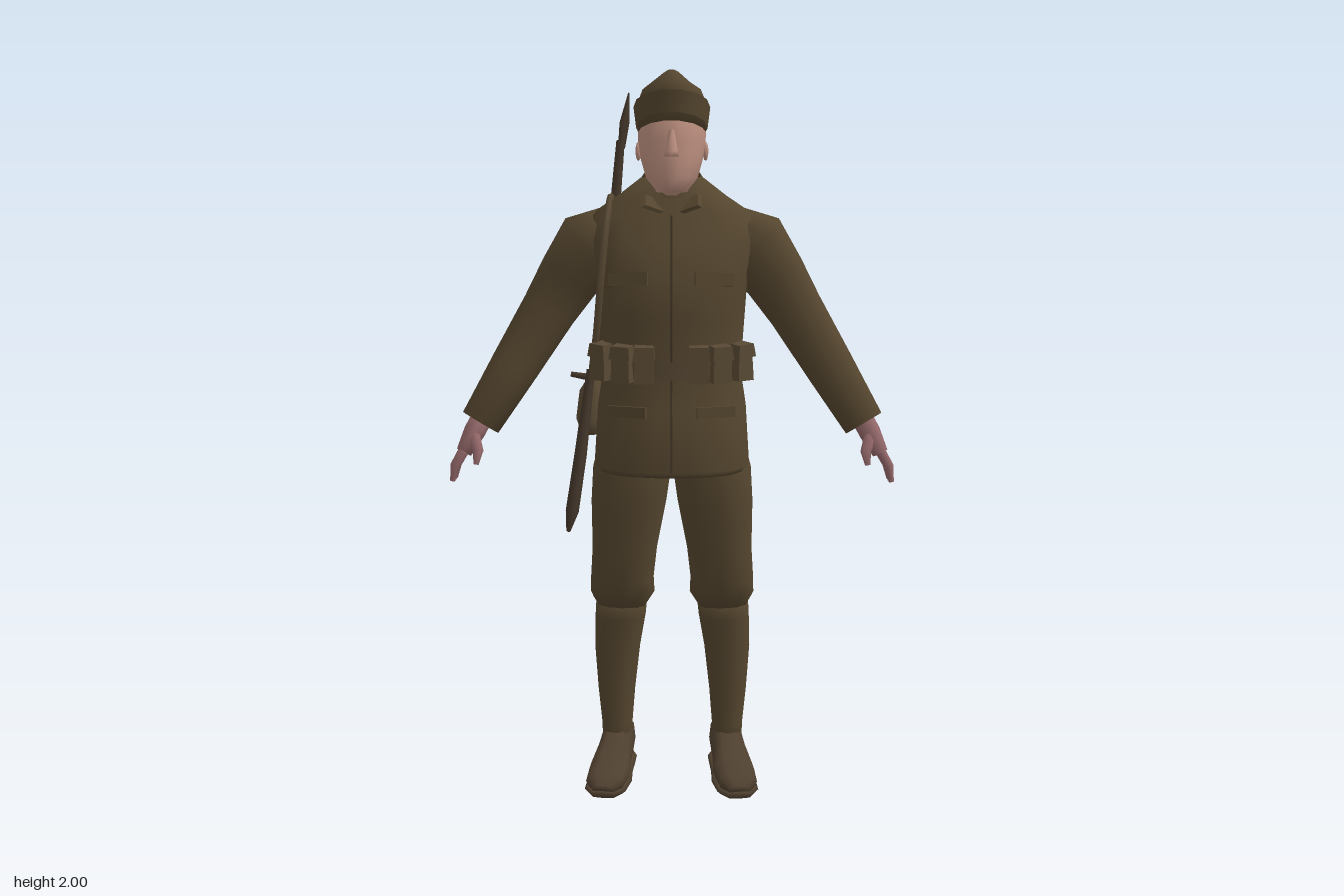
import * as THREE from 'three';
import { toCreasedNormals } from 'three/addons/utils/BufferGeometryUtils.js';

const V = (x, y, z) => new THREE.Vector3(x, y, z);
const mat = (name, color) => {
  const m = new THREE.MeshStandardMaterial({ color, side: THREE.DoubleSide });
  m.name = name;
  return m;
};

// Skin through elliptical rings [x, y, z, a, b]; ring plane follows the path, or stays level if flat.
function loft(rings, { n = 12, ref = V(0, 0, 1), flat = false, power = 0.85, caps = true } = {}) {
  const pos = [], idx = [];
  const pts = rings.map(r => V(r[0], r[1], r[2]));
  const bend = c => Math.sign(c) * Math.abs(c) ** power;
  rings.forEach((r, j) => {
    const t = flat ? V(0, 1, 0) : pts[Math.min(j + 1, pts.length - 1)].clone().sub(pts[Math.max(j - 1, 0)]).normalize();
    const u = t.clone().cross(ref).normalize();
    const v = u.clone().cross(t).normalize();
    for (let i = 0; i < n; i++) {
      const a = i / n * Math.PI * 2;
      const p = pts[j].clone().addScaledVector(u, r[3] * bend(Math.cos(a))).addScaledVector(v, r[4] * bend(Math.sin(a)));
      pos.push(p.x, p.y, p.z);
    }
  });
  for (let j = 0; j < rings.length - 1; j++) {
    for (let i = 0; i < n; i++) {
      const a = j * n + i, b = j * n + (i + 1) % n;
      idx.push(a, a + n, b, b, a + n, b + n);
    }
  }
  if (caps) {
    const s = pos.length / 3, last = (rings.length - 1) * n;
    pos.push(...pts[0].toArray(), ...pts[pts.length - 1].toArray());
    for (let i = 0; i < n; i++) {
      const k = (i + 1) % n;
      idx.push(s, i, k, s + 1, last + k, last + i);
    }
  }
  const g = new THREE.BufferGeometry();
  g.setAttribute('position', new THREE.Float32BufferAttribute(pos, 3));
  g.setIndex(idx);
  g.computeVertexNormals();
  return g;
}

// Moves each vertex upward in proportion to its z
function slope(g, k, z0) {
  const p = g.attributes.position;
  for (let i = 0; i < p.count; i++) p.setY(i, p.getY(i) + k * (p.getZ(i) - z0));
  g.computeVertexNormals();
  return g;
}

// Box narrowed at the top
function taperBox(w, h, d, k) {
  const g = new THREE.BoxGeometry(w, h, d), p = g.attributes.position;
  for (let i = 0; i < p.count; i++) if (p.getY(i) > 0) p.setXYZ(i, p.getX(i) * k, p.getY(i), p.getZ(i) * k);
  g.computeVertexNormals();
  return g;
}

export function createModel() {
  const root = new THREE.Group();
  root.name = 'soldier';
  const wool = mat('olive wool', 0x55462f), webbing = mat('webbing', 0x574833);
  const leather = mat('boot leather', 0x4f4030), wood = mat('rifle wood', 0x43362a);
  const skin = mat('skin', 0xbd9080), handSkin = mat('hand skin', 0x93686a), seamMat = mat('seam', 0x3b3022);
  const add = (name, geo, m, p = [0, 0, 0], r = [0, 0, 0], parent = root) => {
    const o = new THREE.Mesh(geo, m);
    o.name = name;
    o.position.set(...p);
    o.rotation.set(...r);
    parent.add(o);
    return o;
  };
  const tube = (pts, r) => new THREE.TubeGeometry(new THREE.CatmullRomCurve3(pts.map(p => V(...p))), 24, r, 5);

  // Tunic, given as height, half width, back z, front z
  const tunic = [
    [0.92, 0.2, -0.08, 0.2], [0.94, 0.215, -0.1, 0.232], [1.1, 0.205, -0.1, 0.21], [1.2, 0.19, -0.098, 0.185],
    [1.35, 0.2, -0.1, 0.198], [1.46, 0.208, -0.115, 0.19], [1.55, 0.23, -0.118, 0.152],
    [1.62, 0.225, -0.112, 0.115], [1.67, 0.15, -0.1, 0.095], [1.72, 0.085, -0.075, 0.07],
  ].map(([y, w, b, f]) => [0, y, (b + f) / 2, w, (f - b) / 2]);
  add('tunic', loft(tunic, { n: 18, flat: true }), wool);
  add('collar', slope(loft([[0, 1.665, 0.01, 0.118, 0.1], [0, 1.725, 0.01, 0.078, 0.078]],
    { n: 14, flat: true, caps: false }), -0.4, 0.01), wool);
  for (const s of [-1, 1]) {
    add('lapel', taperBox(0.075, 0.008, 0.05, 0.8), wool, [s * 0.045, 1.65, 0.1], [0.75, 0, s * 0.45]);
    add('chestPocketFlap', new THREE.BoxGeometry(0.11, 0.035, 0.008), wool, [s * 0.115, 1.455, 0.179], [-0.12, s * 0.3, 0]);
    add('skirtPocketFlap', new THREE.BoxGeometry(0.11, 0.03, 0.008), wool, [s * 0.12, 1.1, 0.191], [0, s * 0.35, 0]);
  }
  add('frontSeam', tube([[0, 1.62, 0.119], [0, 1.53, 0.167], [0, 1.4, 0.196], [0, 1.2, 0.187], [0, 1.05, 0.218], [0, 0.94, 0.232]], 0.003), seamMat);

  // Head, neck and nose
  const head = [
    [1.62, 0.055, -0.04, 0.06], [1.68, 0.055, -0.045, 0.1], [1.685, 0.045, -0.045, 0.155], [1.72, 0.07, -0.045, 0.168],
    [1.77, 0.084, -0.05, 0.168], [1.82, 0.091, -0.055, 0.163], [1.88, 0.092, -0.055, 0.16], [1.93, 0.07, -0.04, 0.12],
  ].map(([y, w, b, f]) => [0, y, (b + f) / 2, w, (f - b) / 2]);
  add('head', loft(head, { n: 14, flat: true, power: 1 }), skin);
  add('nose', loft([[0, 1.775, 0.165, 0.02, 0.022], [0, 1.79, 0.168, 0.017, 0.023], [0, 1.845, 0.158, 0.007, 0.008]], { n: 6, flat: true }), skin);
  for (const s of [-1, 1]) {
    add('ear', new THREE.SphereGeometry(0.02, 8, 6).scale(0.4, 1.3, 0.9), skin, [s * 0.091, 1.79, 0.03]);
  }

  // Folded field cap
  add('cap', slope(loft([[0, 1.835, 0.052, 0.091, 0.11], [0, 1.9, 0.05, 0.099, 0.119], [0, 1.935, 0.048, 0.085, 0.115],
    [0, 1.976, 0.04, 0.028, 0.09]], { n: 14, flat: true, power: 0.95 }), 0.3, 0.05), wool);
  add('capFold', slope(loft([[0, 1.85, 0.052, 0.096, 0.115], [0, 1.905, 0.051, 0.103, 0.122]],
    { n: 14, flat: true, power: 0.95, caps: false }), 0.34, 0.05), wool);

  for (const s of [-1, 1]) {
    // Sleeve
    add('sleeve', loft([[s * 0.15, 1.57, -0.01, 0.08, 0.085], [s * 0.225, 1.53, -0.015, 0.105, 0.098], [s * 0.285, 1.45, -0.025, 0.088, 0.085],
      [s * 0.345, 1.355, -0.025, 0.077, 0.073], [s * 0.44, 1.2, 0.005, 0.068, 0.062],
      [s * 0.535, 1.045, 0.04, 0.057, 0.053]]), wool);
    // Hand with fingers and thumb
    const hand = new THREE.Group();
    hand.name = 'hand';
    root.add(hand);
    add('palm', loft([[s * 0.53, 1.06, 0.04, 0.03, 0.038], [s * 0.552, 1.02, 0.048, 0.03, 0.045],
      [s * 0.58, 0.965, 0.065, 0.022, 0.05]], { n: 8 }), handSkin, undefined, undefined, hand);
    for (let i = 0; i < 4; i++) {
      const z = 0.03 + i * 0.024;
      add('finger', loft([[s * 0.577, 0.975, z, 0.014, 0.013], [s * 0.6, 0.935, z + 0.004, 0.013, 0.012],
        [s * 0.607, 0.892 + (i === 0 ? 0.02 : 0), z + 0.007, 0.007, 0.007]], { n: 6 }), handSkin, undefined, undefined, hand);
    }
    add('thumb', loft([[s * 0.55, 1.015, 0.08, 0.018, 0.016], [s * 0.535, 0.975, 0.105, 0.015, 0.014],
      [s * 0.54, 0.94, 0.115, 0.007, 0.007]], { n: 6 }), handSkin, undefined, undefined, hand);

    // Trousers with a fold over the puttee
    add('trouserLeg', loft([[s * 0.145, 0.5, -0.03, 0.07, 0.075], [s * 0.143, 0.54, -0.02, 0.092, 0.098], [s * 0.143, 0.59, -0.003, 0.09, 0.105],
      [s * 0.135, 0.68, 0.01, 0.092, 0.108], [s * 0.122, 0.82, 0.02, 0.106, 0.126], [s * 0.112, 0.92, 0.025, 0.11, 0.13],
      [s * 0.1, 1.0, 0.03, 0.1, 0.12]], { flat: true }), wool);
    add('puttee', loft([[s * 0.162, 0.07, -0.04, 0.042, 0.055], [s * 0.162, 0.14, -0.038, 0.045, 0.055], [s * 0.163, 0.24, -0.042, 0.054, 0.067],
      [s * 0.16, 0.37, -0.045, 0.066, 0.078], [s * 0.15, 0.47, -0.035, 0.073, 0.083], [s * 0.145, 0.53, -0.025, 0.074, 0.08]], { flat: true }), wool);

    // Boot and sole
    const boot = [[0.152, -0.11, 0.034, 0.05], [0.155, -0.085, 0.045, 0.062], [0.16, -0.03, 0.047, 0.066], [0.168, 0.03, 0.05, 0.052],
      [0.178, 0.1, 0.06, 0.035], [0.188, 0.17, 0.055, 0.028], [0.192, 0.203, 0.03, 0.017]];
    add('boot', loft(boot.map(([x, z, w, h]) => [s * x, h + 0.006, z, w, h]), { n: 10, ref: V(0, 1, 0), power: 0.7 }), leather);
    add('sole', loft(boot.map(([x, z, w]) => [s * x, 0.01, z, w + 0.004, 0.01]), { n: 8, ref: V(0, 1, 0), power: 0.5 }), leather);

    // Ammunition pouches
    for (let i = 0; i < 3; i++) {
      const x = 0.073 + i * 0.056, z = 0.19 - i * i * 0.016;
      add('ammoPouch', taperBox(0.054, 0.085, 0.055, 0.85), webbing, [s * x, 1.222, z], [0, s * i * 0.35, 0]);
      add('pouchFlap', taperBox(0.06, 0.035, 0.065, 0.85), webbing, [s * x, 1.262, z], [0.1, s * i * 0.35, 0]);
    }
  }

  // Belt
  add('belt', loft([[0, 1.185, 0.044, 0.197, 0.149], [0, 1.235, 0.044, 0.199, 0.151]], { n: 18, flat: true, caps: false }), webbing);

  // Bedroll and haversack at the back
  add('bedroll', loft([[-0.17, 1.2, -0.125, 0.035, 0.035], [-0.14, 1.205, -0.145, 0.045, 0.045], [0.06, 1.23, -0.155, 0.045, 0.045],
    [0.1, 1.23, -0.14, 0.035, 0.035]], { n: 8 }), webbing);
  add('haversack', toCreasedNormals(taperBox(0.22, 0.22, 0.11, 0.72), 0.5), webbing, [-0.07, 1.06, -0.15], [0.22, 0, 0]);
  add('haversackFlap', taperBox(0.2, 0.11, 0.009, 0.85), webbing, [-0.07, 1.09, -0.205], [0.35, 0, 0]);

  // Water bottle on the right hip
  add('waterBottle', loft([[-0.23, 1.0, -0.06, 0.03, 0.05], [-0.235, 1.04, -0.06, 0.04, 0.065],
    [-0.23, 1.12, -0.07, 0.035, 0.055], [-0.22, 1.17, -0.075, 0.012, 0.015]], { n: 8, flat: true }), webbing);

  // Rifle with bayonet, slung behind the right shoulder
  const rifle = new THREE.Group();
  rifle.name = 'rifle';
  root.add(rifle);
  const gun = (name, rings, n = 8) => add(name, loft(rings, { n }), wood, undefined, undefined, rifle);
  gun('bayonet', [[-0.146, 1.8, -0.185, 0.01, 0.018], [-0.138, 1.87, -0.2, 0.014, 0.026], [-0.126, 1.955, -0.226, 0.002, 0.003]], 4);
  gun('forestock', [[-0.2, 1.3, -0.14, 0.018, 0.032], [-0.172, 1.55, -0.153, 0.016, 0.03], [-0.148, 1.82, -0.172, 0.012, 0.022]]);
  gun('receiver', [[-0.225, 1.1, -0.115, 0.016, 0.026], [-0.212, 1.2, -0.13, 0.02, 0.036], [-0.2, 1.32, -0.14, 0.018, 0.032]]);
  add('boltHandle', new THREE.CylinderGeometry(0.008, 0.012, 0.08, 6), wood, [-0.255, 1.15, -0.135], [0, 0, 1.4], rifle);

  // Scabbard in front of the right hip
  add('scabbard', loft([[-0.283, 0.765, 0.165, 0.006, 0.014], [-0.272, 0.82, 0.165, 0.018, 0.034], [-0.25, 0.97, 0.13, 0.017, 0.028],
    [-0.222, 1.2, 0.08, 0.012, 0.018]], { n: 6 }), wood);

  // Sling over the shoulder
  add('sling', tube([[-0.17, 1.5, -0.135], [-0.165, 1.62, -0.115], [-0.168, 1.668, -0.02], [-0.175, 1.6, 0.115],
    [-0.19, 1.45, 0.145], [-0.205, 1.3, 0.12], [-0.222, 1.18, 0.085]], 0.01), webbing);
  return root;
}
